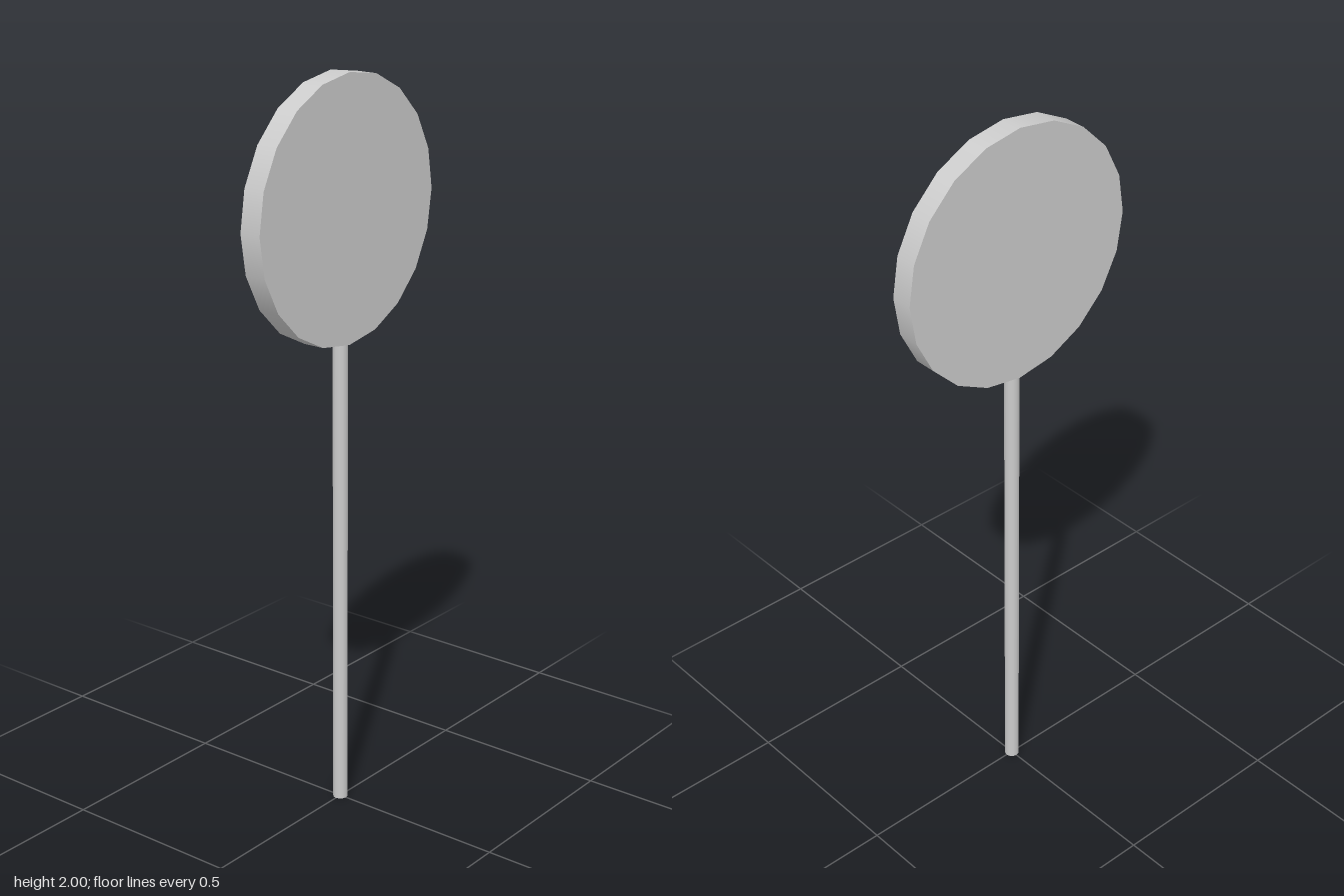
import * as THREE from 'three';

export function createModel() {
  const model = new THREE.Group();
  const grey = new THREE.MeshStandardMaterial({ color: 0xcccccc });

  const discRadius = 0.348;
  const discCentre = 2 - discRadius;
  const poleHeight = discCentre - discRadius + 0.01; // sinks slightly into the rim

  // Upright round pole
  const pole = new THREE.Mesh(new THREE.CylinderGeometry(0.02, 0.02, poleHeight, 12), grey);
  pole.name = 'pole';
  pole.position.y = poleHeight / 2;

  // Twenty-sided disc, faces turned towards +x and -x
  const disc = new THREE.Mesh(
    new THREE.CylinderGeometry(discRadius, discRadius, 0.06, 20).rotateZ(Math.PI / 2),
    grey
  );
  disc.name = 'signDisc';
  disc.position.y = discCentre;

  model.add(pole, disc);
  return model;
}
